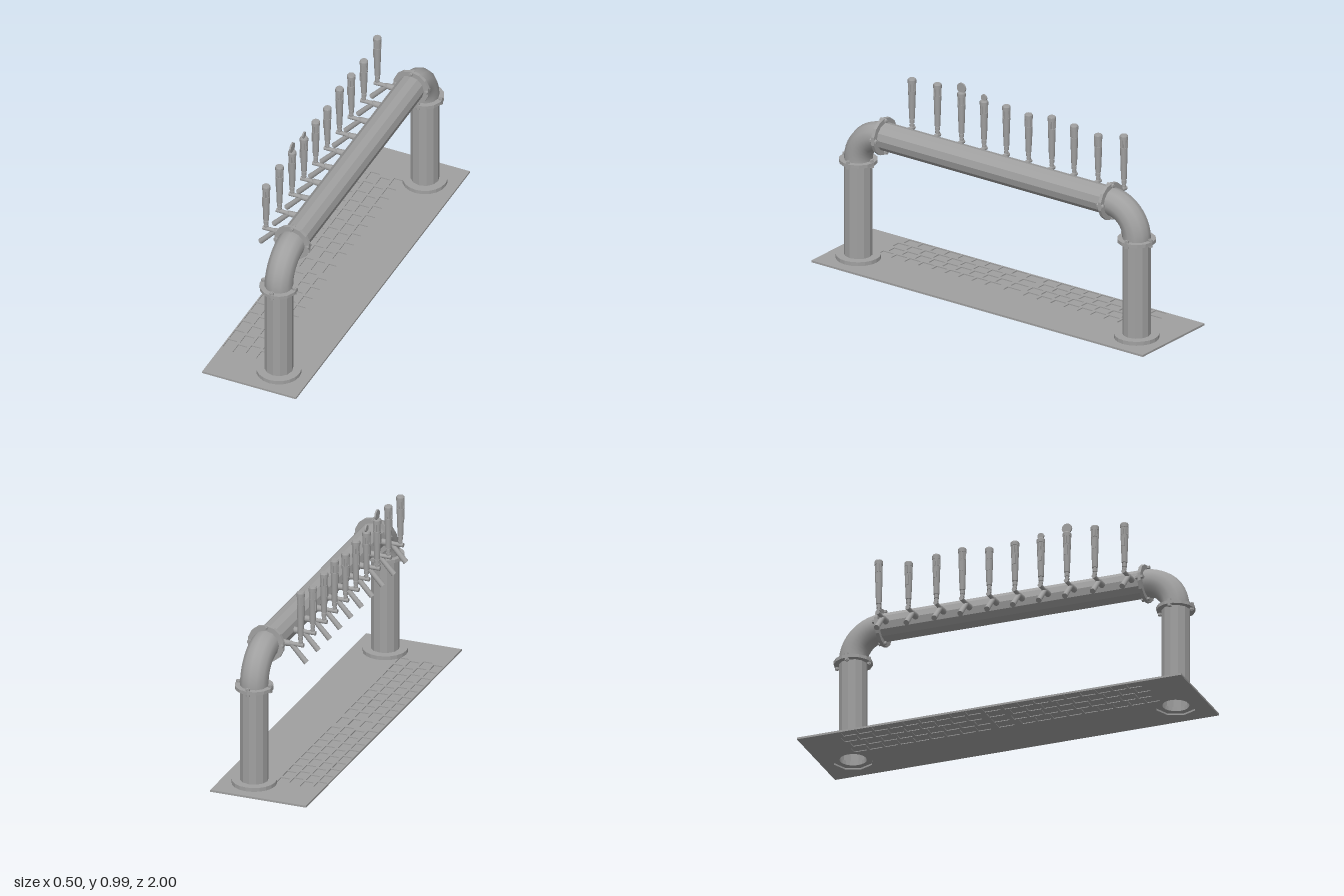
import * as THREE from 'three';

const GREY = 0xa0a0a0;
const material = new THREE.MeshStandardMaterial({ color: GREY });
const flat = new THREE.MeshStandardMaterial({ color: GREY, flatShading: true });
const open = new THREE.MeshStandardMaterial({ color: GREY, side: THREE.DoubleSide });
const openFlat = new THREE.MeshStandardMaterial({ color: GREY, side: THREE.DoubleSide, flatShading: true });

const PIPE_X = 0.085, PIPE_R = 0.07, COLUMN_Z = 0.84, BEAM_Y = 0.685, ELBOW_R = 0.155;

function add(parent, name, geometry, x = 0, y = 0, z = 0, mat = material) {
  const mesh = new THREE.Mesh(geometry, mat);
  mesh.name = name;
  mesh.position.set(x, y, z);
  parent.add(mesh);
  return mesh;
}

// Cylinder between two points, r0 at the start and r1 at the end
function rod(parent, name, a, b, r0, r1 = r0, sides = 12) {
  const from = new THREE.Vector3(...a), to = new THREE.Vector3(...b);
  const dir = to.clone().sub(from);
  const mesh = add(parent, name, new THREE.CylinderGeometry(r1, r0, dir.length(), sides));
  mesh.position.copy(from).add(to).multiplyScalar(0.5);
  mesh.quaternion.setFromUnitVectors(new THREE.Vector3(0, 1, 0), dir.normalize());
}

// Flat ring around the y axis, centred on its thickness
function ring(inner, outer, h, sides) {
  const points = [[inner, -h / 2], [outer, -h / 2], [outer, h / 2], [inner, h / 2], [inner, -h / 2]];
  return new THREE.LatheGeometry(points.map(p => new THREE.Vector2(...p)), sides);
}

// Pipe coupling with four hexagonal bolts
function boltedFlange() {
  const flange = new THREE.Group();
  flange.name = 'boltedFlange';
  add(flange, 'flangeRing', ring(PIPE_R - 0.004, 0.095, 0.017, 14), 0, 0, 0, flat);
  for (let i = 0; i < 4; i++) {
    const a = i * Math.PI / 2, x = 0.083 * Math.cos(a), z = 0.083 * Math.sin(a);
    add(flange, 'boltShaft', new THREE.CylinderGeometry(0.006, 0.006, 0.044, 8), x, 0, z);
    for (const s of [-1, 1])
      add(flange, 'boltHead', new THREE.CylinderGeometry(0.011, 0.011, 0.011, 6), x, s * 0.014, z, flat);
  }
  return flange;
}

function rectHole(x, z, w, d) {
  const p = new THREE.Path();
  p.moveTo(x - w / 2, z - d / 2);
  p.lineTo(x - w / 2, z + d / 2);
  p.lineTo(x + w / 2, z + d / 2);
  p.lineTo(x + w / 2, z - d / 2);
  p.closePath();
  return p;
}

// One layer of the base plate, with column openings and optional grate cells
function plateLayer(parent, name, y, h, grate) {
  const shape = new THREE.Shape([[-0.25, -1], [0.25, -1], [0.25, 1], [-0.25, 1]].map(p => new THREE.Vector2(...p)));
  for (const s of [-1, 1]) {
    const hole = new THREE.Path();
    hole.absarc(PIPE_X, s * COLUMN_Z, 0.1, 0, Math.PI * 2, true);
    shape.holes.push(hole);
  }
  for (let i = 0; grate && i < 4; i++) {
    const x = -0.22 + i * 0.062;
    shape.holes.push(rectHole(x, 0, 0.04, 0.08));
    for (const s of [-1, 1])
      for (let j = 0; j < 9; j++) {
        const shift = i % 2 ? 0.01 : -0.01;
        shape.holes.push(rectHole(x, s * (0.105 + j * 0.081 + shift), 0.048, 0.066));
      }
  }
  const geometry = new THREE.ExtrudeGeometry(shape, { depth: h, bevelEnabled: false, curveSegments: 4 });
  geometry.rotateX(-Math.PI / 2);
  add(parent, name, geometry, 0, y, 0);
}

// Column, elbow and couplings of one end
function endSupport() {
  const support = new THREE.Group();
  support.name = 'endSupport';
  const elbowY = BEAM_Y - ELBOW_R;
  add(support, 'columnFoot', ring(PIPE_R - 0.004, 0.11, 0.021, 20), 0, 0.0195, COLUMN_Z, flat);
  add(support, 'column', new THREE.CylinderGeometry(PIPE_R, PIPE_R, elbowY - 0.01, 12, 1, true), 0, (elbowY + 0.01) / 2, COLUMN_Z, openFlat);
  const elbow = add(support, 'elbow', new THREE.TorusGeometry(ELBOW_R, PIPE_R, 12, 10, Math.PI / 2), 0, elbowY, COLUMN_Z - ELBOW_R, open);
  elbow.rotation.y = -Math.PI / 2;
  const lower = boltedFlange();
  lower.position.set(0, 0.522, COLUMN_Z);
  const upper = boltedFlange();
  upper.position.set(0, BEAM_Y, COLUMN_Z - ELBOW_R);
  upper.rotation.x = Math.PI / 2;
  support.add(lower, upper);
  return support;
}

// Tap with its spout and a tapered handle reaching up to the given height
function tap(top, discRadius) {
  const g = new THREE.Group();
  g.name = 'tap';
  const hx = -0.077, crown = top - 0.065;
  rod(g, 'shank', [0.03, BEAM_Y, 0], [-0.012, BEAM_Y, 0], 0.017, 0.015);
  rod(g, 'shankNeck', [-0.012, BEAM_Y, 0], [-0.055, BEAM_Y, 0], 0.015, 0.009);
  rod(g, 'valveBody', [-0.04, BEAM_Y, 0], [-0.093, BEAM_Y, 0], 0.01, 0.011);
  rod(g, 'spout', [-0.02, 0.692, 0], [-0.107, 0.597, 0], 0.012, 0.014);
  rod(g, 'lever', [hx, 0.685, 0], [hx, 0.738, 0], 0.008);
  rod(g, 'leverCollar', [hx, 0.696, 0], [hx, 0.706, 0], 0.011);
  rod(g, 'handleFerrule', [hx, 0.713, 0], [hx, 0.73, 0], 0.012);
  rod(g, 'handle', [hx, 0.735, 0], [hx, crown, 0], 0.014, 0.019);
  rod(g, 'crownNeck', [hx, crown, 0], [hx, top - 0.024, 0], 0.016, 0.018);
  // Ribs below the cap
  for (let i = 0; i < 8; i++) {
    const a = i * Math.PI / 4;
    add(g, 'crownRib', new THREE.BoxGeometry(0.006, 0.04, 0.006), hx + 0.016 * Math.cos(a), crown + 0.021, 0.016 * Math.sin(a)).rotation.y = -a;
  }
  rod(g, 'crownCap', [hx, top - 0.024, 0], [hx, top - 0.006, 0], 0.021);
  rod(g, 'crownTop', [hx, top - 0.006, 0], [hx, top, 0], 0.02, 0.017);
  add(g, 'handlePlate', new THREE.BoxGeometry(0.006, 0.05, 0.016), hx - 0.016, crown - 0.035, 0);
  if (discRadius) {
    const y = top + discRadius * 0.8;
    rod(g, 'handleDisc', [hx - 0.004, y, 0], [hx + 0.004, y, 0], discRadius, discRadius, 16);
  }
  return g;
}

export function createModel() {
  const model = new THREE.Group();
  model.name = 'tapTower';

  // Base plate with the drip grate sunk into both faces
  plateLayer(model, 'plateUnderside', 0, 0.0035, true);
  plateLayer(model, 'plateCore', 0.0035, 0.001, false);
  plateLayer(model, 'dripGrate', 0.0045, 0.0055, true);

  // Two end supports and the beam joining them
  for (const turn of [0, Math.PI]) {
    const support = endSupport();
    support.position.x = PIPE_X;
    support.rotation.y = turn;
    model.add(support);
  }
  const span = 2 * (COLUMN_Z - ELBOW_R);
  add(model, 'beam', new THREE.CylinderGeometry(PIPE_R, PIPE_R, span, 12, 1, true), PIPE_X, BEAM_Y, 0, openFlat).rotation.x = Math.PI / 2;

  // Row of taps: z, handle top, optional disc radius
  const taps = [
    [0.637, 0.945], [0.483, 0.957], [0.338, 0.948, 0.026], [0.202, 0.938, 0.017], [0.067, 0.945],
    [-0.067, 0.935], [-0.207, 0.957], [-0.342, 0.945], [-0.487, 0.932], [-0.642, 0.967],
  ];
  for (const [z, top, disc] of taps) {
    const t = tap(top, disc);
    t.position.z = z;
    model.add(t);
  }
  return model;
}
